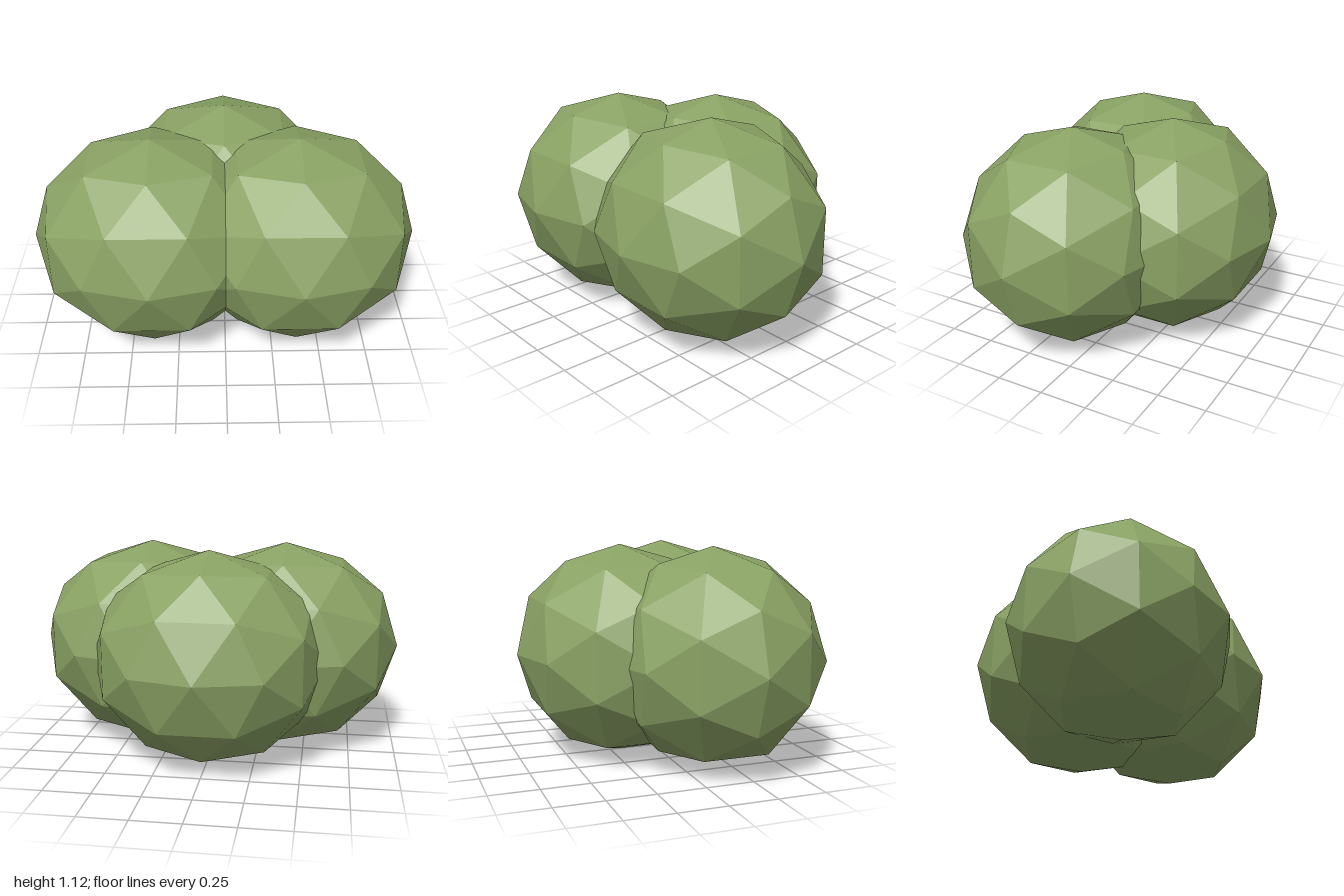
import * as THREE from 'three';

export function createModel() {
  const model = new THREE.Group();
  model.name = 'bush';

  const leafGreen = new THREE.MeshStandardMaterial({ color: 0x8aa264, flatShading: true });
  leafGreen.name = 'leaf green';

  // One faceted clump, turned so its facets line up, then widened along x
  const clump = new THREE.IcosahedronGeometry(1, 1);
  clump.rotateY(Math.PI / 2);
  clump.scale(0.625, 0.5625, 0.5625);

  // Two clumps side by side in front, one behind
  const clumps = [
    ['leftClump', 0.375, 0.1875],
    ['rightClump', -0.375, 0.1875],
    ['backClump', 0, -0.1875],
  ];
  for (const [name, x, z] of clumps) {
    const mesh = new THREE.Mesh(clump, leafGreen);
    mesh.name = name;
    mesh.position.set(x, 0.5625, z);
    model.add(mesh);
  }
  return model;
}
